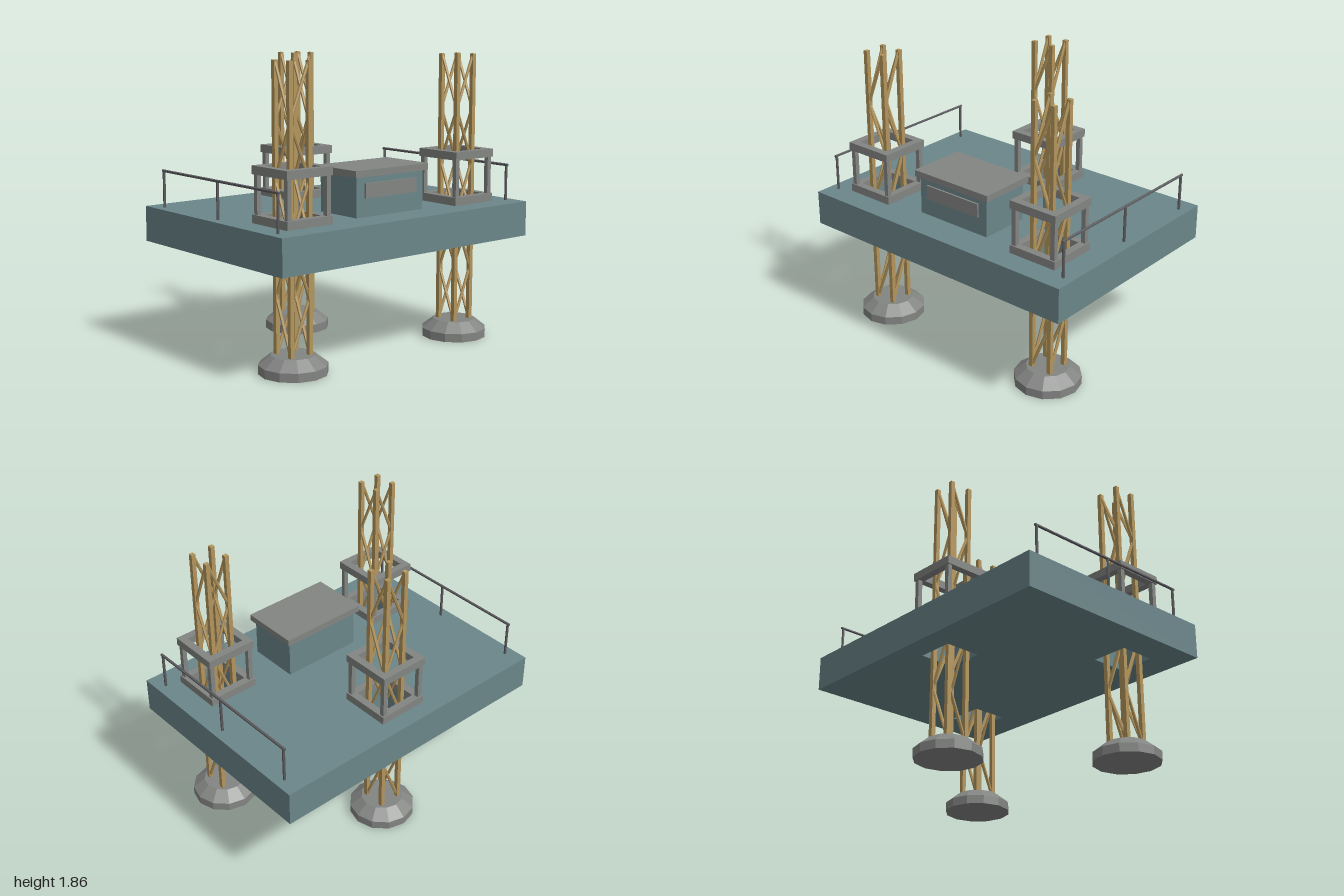
import * as THREE from 'three';

const mat = (color) => new THREE.MeshStandardMaterial({ color, flatShading: true });
const HULL = mat(0x6b868a), STEEL = mat(0x838583), LEG = mat(0xb3955c), RAIL = mat(0x5c5c60);

const HULL_BOTTOM = 0.677, DECK = 0.903, LEG_TOP = 1.86;
const LEGS = [[-0.675, 0.39], [0.675, 0.39], [0, -0.437]];
const WELL = 0.24;

function add(parent, name, geometry, material, x = 0, y = 0, z = 0) {
  const mesh = new THREE.Mesh(geometry, material);
  mesh.name = name;
  mesh.position.set(x, y, z);
  parent.add(mesh);
  return mesh;
}

function box(parent, name, material, w, h, d, x, y, z) {
  return add(parent, name, new THREE.BoxGeometry(w, h, d), material, x, y, z);
}

// Round bar between two points
function bar(parent, name, material, a, b, radius, sides = 6) {
  const dir = b.clone().sub(a);
  const mesh = add(parent, name, new THREE.CylinderGeometry(radius, radius, dir.length(), sides), material);
  mesh.position.copy(a).add(b).multiplyScalar(0.5);
  mesh.quaternion.setFromUnitVectors(new THREE.Vector3(0, 1, 0), dir.normalize());
  return mesh;
}

// Flat slab with square openings, standing on y = 0
function slab(w, d, h, holes, holeSize) {
  const rect = (path, cx, cy, hw, hd) => {
    path.moveTo(cx - hw, cy - hd).lineTo(cx + hw, cy - hd);
    path.lineTo(cx + hw, cy + hd).lineTo(cx - hw, cy + hd).closePath();
    return path;
  };
  const shape = rect(new THREE.Shape(), 0, 0, w / 2, d / 2);
  for (const [x, z] of holes) shape.holes.push(rect(new THREE.Path(), x, -z, holeSize / 2, holeSize / 2));
  return new THREE.ExtrudeGeometry(shape, { depth: h, bevelEnabled: false }).rotateX(-Math.PI / 2);
}

// Lattice leg with its footing
function makeLeg() {
  const leg = new THREE.Group();
  leg.name = 'latticeLeg';
  add(leg, 'footingBase', new THREE.CylinderGeometry(0.213, 0.213, 0.055, 12), STEEL, 0, 0.0275, 0);
  add(leg, 'footingTop', new THREE.CylinderGeometry(0.137, 0.213, 0.06, 12), STEEL, 0, 0.085, 0);

  const r = 0.07, y0 = 0.113, bays = 5, step = (LEG_TOP - y0) / bays;
  for (const sx of [-1, 1]) {
    for (const sz of [-1, 1]) {
      box(leg, 'chord', LEG, 0.028, LEG_TOP - y0, 0.028, sx * r, (LEG_TOP + y0) / 2, sz * r);
    }
  }
  // Zigzag braces on all four faces
  for (let i = 0; i < bays; i++) {
    const s = i % 2 ? 1 : -1;
    const ya = y0 + i * step, yb = ya + step;
    for (const side of [-r, r]) {
      bar(leg, 'brace', LEG, new THREE.Vector3(s * r, ya, side), new THREE.Vector3(-s * r, yb, side), 0.01);
      bar(leg, 'brace', LEG, new THREE.Vector3(side, ya, -s * r), new THREE.Vector3(side, yb, s * r), 0.01);
    }
  }
  return leg;
}

// Jacking frame: two square rings joined by corner posts
function makeJackingFrame() {
  const frame = new THREE.Group();
  frame.name = 'jackingFrame';
  add(frame, 'lowerRing', slab(0.338, 0.338, 0.052, [[0, 0]], WELL), STEEL, 0, DECK, 0);
  add(frame, 'upperRing', slab(0.338, 0.338, 0.052, [[0, 0]], WELL), STEEL, 0, 1.194, 0);
  for (const sx of [-1, 1]) {
    for (const sz of [-1, 1]) {
      box(frame, 'cornerPost', STEEL, 0.03, 0.26, 0.03, sx * 0.145, 1.075, sz * 0.145);
    }
  }
  return frame;
}

function makeDeckhouse() {
  const house = new THREE.Group();
  house.name = 'deckhouse';
  box(house, 'walls', HULL, 0.544, 0.25, 0.34, 0, DECK + 0.125, 0.327);
  box(house, 'roof', STEEL, 0.596, 0.042, 0.386, 0, 1.173, 0.327);
  box(house, 'windowBand', STEEL, 0.42, 0.09, 0.02, 0, 1.065, 0.5);
  return house;
}

function makeRailing(x) {
  const railing = new THREE.Group();
  railing.name = x > 0 ? 'leftRailing' : 'rightRailing';
  for (const z of [-0.593, 0, 0.593]) {
    bar(railing, 'railPost', RAIL, new THREE.Vector3(x, DECK, z), new THREE.Vector3(x, 1.135, z), 0.009);
  }
  bar(railing, 'topRail', RAIL, new THREE.Vector3(x, 1.136, -0.607), new THREE.Vector3(x, 1.136, 0.607), 0.009);
  return railing;
}

export function createModel() {
  const model = new THREE.Group();
  model.name = 'jackUpPlatform';
  // Hull with a well for each leg
  add(model, 'hull', slab(2, 1.43, DECK - HULL_BOTTOM, LEGS, WELL), HULL, 0, HULL_BOTTOM, 0);
  for (const [x, z] of LEGS) {
    for (const part of [makeLeg(), makeJackingFrame()]) {
      part.position.set(x, 0, z);
      model.add(part);
    }
  }
  model.add(makeDeckhouse(), makeRailing(-0.935), makeRailing(0.935));
  return model;
}
